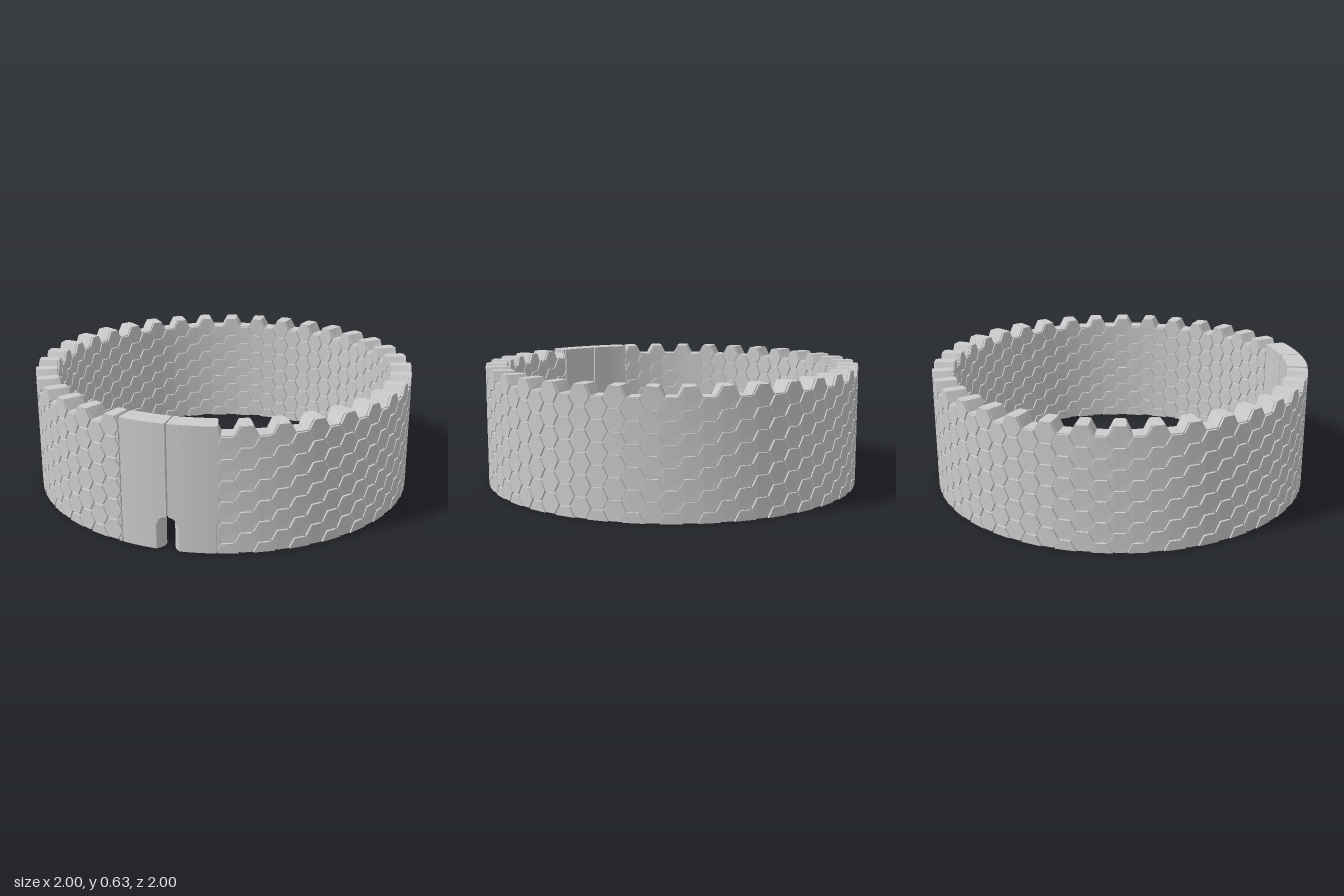
import * as THREE from 'three';
import { mergeGeometries } from 'three/addons/utils/BufferGeometryUtils.js';

const R0 = 0.89, R1 = 1, H = 0.635;      // inner radius, outer radius, height
const DEG = Math.PI / 180;
const PLATE = 13.6 * DEG;                // half angle of the plain front panel
const SEAM = 0.004;                      // half width of the seam

// Roll a flat part (x = angle, y = height, z = radius) round the y axis
function bend(geo) {
  const p = geo.attributes.position;
  for (let i = 0; i < p.count; i++) {
    const a = p.getX(i), r = p.getZ(i);
    p.setXYZ(i, r * Math.sin(a), p.getY(i), r * Math.cos(a));
  }
  geo.computeVertexNormals();
  return geo;
}

// Extrude a flat outline between two radii
function slab(points, r0, r1, steps = 1) {
  const shape = new THREE.Shape(points);
  const geo = new THREE.ExtrudeGeometry(shape, { depth: r1 - r0, steps, bevelEnabled: false });
  return geo.translate(0, 0, r0);
}

// Keep the side of a convex polygon where sign * (p[axis] - limit) >= 0
function clip(points, axis, limit, sign) {
  const out = [];
  points.forEach((p, i) => {
    const q = points[(i + 1) % points.length];
    const dp = sign * (p[axis] - limit), dq = sign * (q[axis] - limit);
    if (dp >= 0) out.push(p);
    if ((dp > 0 && dq < 0) || (dp < 0 && dq > 0)) out.push(p.clone().lerp(q, dp / (dp - dq)));
  });
  return out;
}

// Flat-topped hexagon, trimmed to the wall
function hexagon(a, y, side, half, margin) {
  const corners = [[1, 0], [0.5, 1], [-0.5, 1], [-1, 0], [-0.5, -1], [0.5, -1]];
  let pts = corners.map(([u, v]) => new THREE.Vector2(a + u * side, y + v * half));
  pts = clip(pts, 'y', 0, 1);
  pts = clip(pts, 'y', H, -1);
  pts = clip(pts, 'x', PLATE + margin, 1);
  return clip(pts, 'x', 2 * Math.PI - PLATE - margin, -1);
}

// Honeycomb wall: raised tiles over a slightly thinner core that fills the grooves
function honeycomb() {
  const tiles = [], core = [];
  const column = 5.03 * DEG, side = column / 1.5, row = 0.1065, top = 0.639, k = 0.92;
  for (let j = -1; j <= 66; j++) {
    const a = 16.3 * DEG + j * column;
    const drop = j % 2 === 0 ? row / 2 : 0;
    for (let i = 0; i < 6; i++) {
      const y = top - drop - (i + 0.5) * row;
      const tile = hexagon(a, y, side * k, row / 2 * k, 0.004);
      const cell = hexagon(a, y, side, row / 2, 0);
      if (tile.length > 2) tiles.push(bend(slab(tile, R0, R1)));
      if (cell.length > 2) core.push(bend(slab(cell, R0 + 0.012, R1 - 0.012)));
    }
  }
  return { tiles: mergeGeometries(tiles), core: mergeGeometries(core) };
}

// Part of the front panel beside the seam, with half of the arched notch
function notchBlock(s) {
  const w = 0.055, archTop = 0.17, edge = 0.062;
  const pts = [[edge, 0], [edge, H], [SEAM, H]];
  const n = 8;
  for (let i = 0; i <= n; i++) {
    const t = (i / n) * Math.PI / 2;
    pts.push([SEAM + (w - SEAM) * Math.sin(t), archTop - w + w * Math.cos(t)]);
  }
  pts.push([w, 0]);
  const geo = slab(pts.map(([x, y]) => new THREE.Vector2(s * x, y)), R0, R1, 8);
  // Round the jambs inward through the thickness of the wall
  const p = geo.attributes.position;
  for (let i = 0; i < p.count; i++) {
    const x = Math.abs(p.getX(i)), t = (p.getZ(i) - R0) / (R1 - R0);
    if (x < edge - 0.001 && x > SEAM + 0.001 && p.getY(i) < archTop) {
      p.setX(i, s * (x - 0.6 * (x - SEAM) * Math.sin(Math.PI * t)));
    }
  }
  return bend(geo);
}

// Rest of the front panel on one side
function panelBar(s) {
  const a0 = 0.062, a1 = PLATE - 0.003;
  const geo = new THREE.BoxGeometry(a1 - a0, H, R1 - R0, 8, 1, 1);
  geo.translate(s * (a0 + a1) / 2, H / 2, (R0 + R1) / 2);
  return bend(geo);
}

export function createModel() {
  const group = new THREE.Group();
  const material = new THREE.MeshStandardMaterial({ color: 0xcccccc });
  const add = (name, geo) => {
    const mesh = new THREE.Mesh(geo, material);
    mesh.name = name;
    group.add(mesh);
  };

  const wall = honeycomb();
  add('honeycombTiles', wall.tiles);
  add('grooveCore', wall.core);

  for (const [side, s] of [['left', 1], ['right', -1]]) {
    add(side + 'PanelNotch', notchBlock(s));
    add(side + 'Panel', panelBar(s));
    // Thin recessed strip joining the panel to the honeycomb
    const strip = new THREE.BoxGeometry(0.006, H, R1 - R0 - 0.024);
    strip.translate(s * PLATE, H / 2, (R0 + R1) / 2);
    add(side + 'PanelJoint', bend(strip));
  }
  return group;
}
